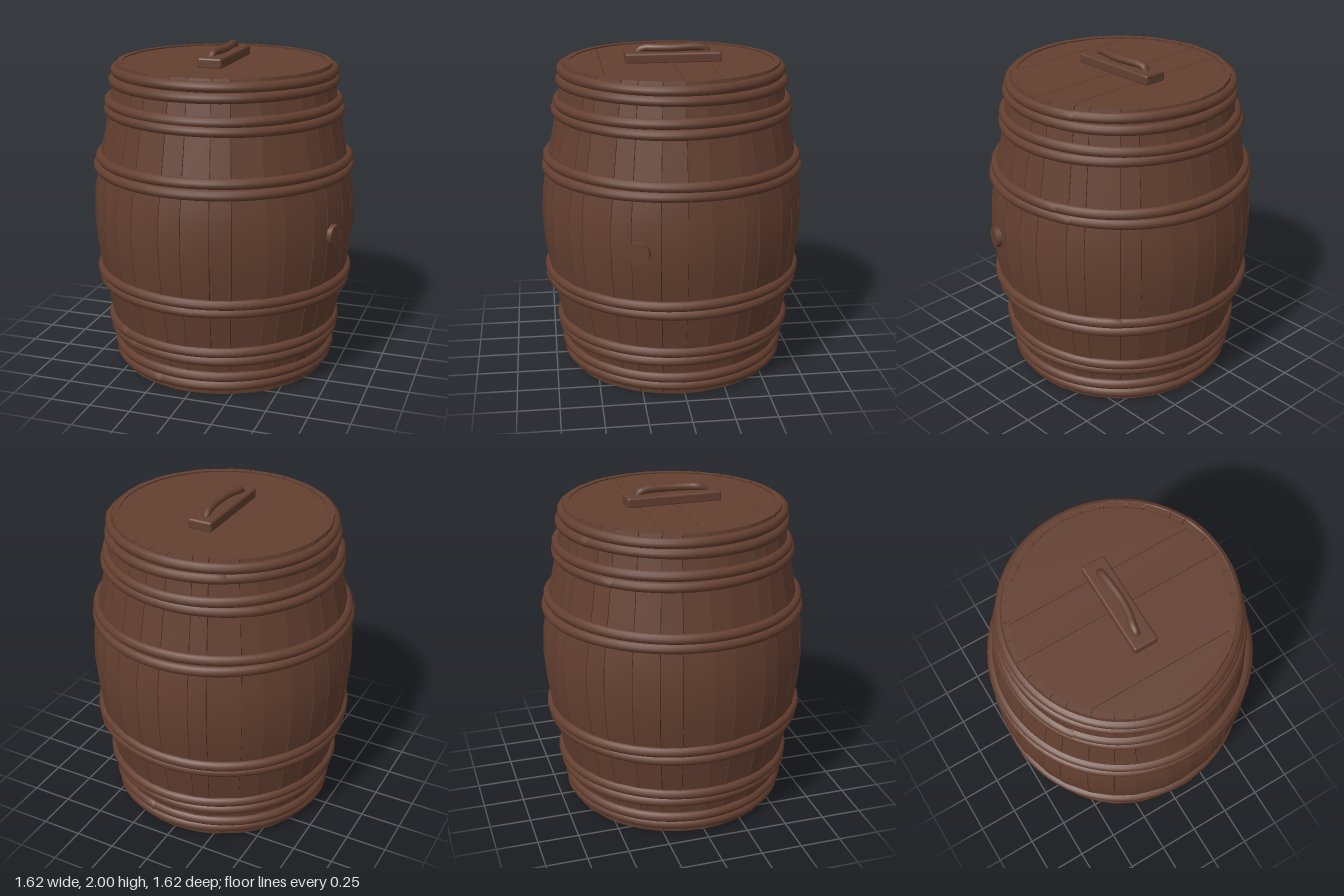
import * as THREE from 'three';
import { mergeGeometries } from 'three/addons/utils/BufferGeometryUtils.js';
import { RoundedBoxGeometry } from 'three/addons/geometries/RoundedBoxGeometry.js';

// Barrel outline: height, radius
const PROFILE = [
  [0, 0.655], [0.06, 0.661], [0.3, 0.706], [0.59, 0.765], [0.78, 0.795], [0.95, 0.808],
  [1.13, 0.8], [1.32, 0.764], [1.6, 0.708], [1.84, 0.664], [1.905, 0.652],
];
const TOP = 1.905;

function radiusAt(y) {
  for (let i = 1; i < PROFILE.length; i++) {
    const [y0, r0] = PROFILE[i - 1], [y1, r1] = PROFILE[i];
    if (y <= y1) return r0 + (r1 - r0) * Math.max(0, (y - y0) / (y1 - y0));
  }
  return PROFILE[PROFILE.length - 1][1];
}

// One curved stave between two angles (measured from +z towards +x)
function staveGeometry(a0, a1) {
  const geo = new THREE.BoxGeometry(1, 1, 1, 1, PROFILE.length - 1, 1);
  const p = geo.attributes.position;
  for (let i = 0; i < p.count; i++) {
    const row = Math.round((p.getY(i) + 0.5) * (PROFILE.length - 1));
    const [y, outer] = PROFILE[row];
    const r = p.getZ(i) > 0 ? outer : outer - 0.035;
    const gap = 0.002 / r;
    const a = p.getX(i) < 0 ? a0 + gap : a1 - gap;
    p.setXYZ(i, r * Math.sin(a), y, r * Math.cos(a));
  }
  geo.computeVertexNormals();
  return geo;
}

// Round board cut into planks by seams across z
function plankGeometry(radius, seams, thickness) {
  const edges = [-radius, ...seams, radius];
  const parts = [];
  for (let i = 0; i + 1 < edges.length; i++) {
    const z0 = edges[i] + (i ? 0.002 : 0), z1 = edges[i + 1] - 0.002;
    const pts = [];
    for (const side of [1, -1]) {
      for (let k = 0; k <= 16; k++) {
        const t = side > 0 ? k / 16 : 1 - k / 16;
        const a0 = Math.asin(z0 / radius), a1 = Math.asin(z1 / radius);
        const a = a0 + (a1 - a0) * t;
        pts.push(new THREE.Vector2(side * radius * Math.cos(a), radius * Math.sin(a)));
      }
    }
    const geo = new THREE.ExtrudeGeometry(new THREE.Shape(pts), { depth: thickness, bevelEnabled: false });
    parts.push(geo.rotateX(Math.PI / 2));
  }
  return mergeGeometries(parts);
}

// Hoop bent from a rod whose tapered end laps over its start
class HoopCurve extends THREE.Curve {
  constructor(y, start, phase) {
    super();
    Object.assign(this, { y, start, phase, r: radiusAt(y) });
  }
  getPoint(t, target = new THREE.Vector3()) {
    const a = this.start + t * (Math.PI * 2 + 0.12);
    const lift = 0.006 * Math.max(0, (t - 0.94) / 0.06);
    const r = this.r + lift + 0.003 * Math.sin(3 * a + this.phase);
    const y = this.y + 0.004 * Math.sin(2 * a + this.phase);
    return target.set(r * Math.sin(a), y, r * Math.cos(a));
  }
}

function hoopGeometry(y, start, phase) {
  const curve = new HoopCurve(y, start, phase);
  const steps = 80, sides = 10;
  const geo = new THREE.TubeGeometry(curve, steps, 0.031, sides, false);
  // Narrow the last ring into a blunt tip
  const p = geo.attributes.position, tip = curve.getPoint(1), v = new THREE.Vector3();
  for (let i = steps * (sides + 1); i < p.count; i++) {
    v.fromBufferAttribute(p, i).lerp(tip, 0.75);
    p.setXYZ(i, v.x, v.y, v.z);
  }
  geo.computeVertexNormals();
  return geo;
}

export function createModel() {
  const group = new THREE.Group();
  const wood = new THREE.MeshStandardMaterial({ color: 0x633f30 });
  wood.name = 'brown wood';
  const hoopWood = new THREE.MeshStandardMaterial({ color: 0x633e2f, side: THREE.DoubleSide });
  hoopWood.name = 'brown hoop';
  const dark = new THREE.MeshStandardMaterial({ color: 0x21140f });
  dark.name = 'dark seam';

  const add = (name, geo, mat, x = 0, y = 0, z = 0) => {
    const mesh = new THREE.Mesh(geo, mat);
    mesh.name = name;
    mesh.position.set(x, y, z);
    group.add(mesh);
    return mesh;
  };

  // Staves of slightly uneven width
  const count = 32;
  const angle = (i) => ((i + (i % 8 ? 0.16 * Math.sin(i * 2.7) : 0)) / count) * Math.PI * 2;
  const staves = [];
  for (let i = 0; i < count; i++) staves.push(staveGeometry(angle(i), angle(i + 1)));
  add('staves', mergeGeometries(staves), wood);

  // Dark core seen through the seams
  const core = PROFILE.map(([y, r]) => new THREE.Vector2(r - 0.016, Math.min(Math.max(y, 0.012), TOP - 0.018)));
  core.unshift(new THREE.Vector2(0, 0.012));
  core.push(new THREE.Vector2(0, TOP - 0.018));
  add('seamCore', new THREE.LatheGeometry(core, 64), dark);

  // Lid and bottom boards
  add('lid', plankGeometry(0.617, [-0.22, 0, 0.43], 0.03), wood, 0, TOP - 0.008);
  add('bottom', plankGeometry(0.62, [-0.43, -0.22, 0, 0.22, 0.43], 0.03), wood, 0, 0.034);

  // Hoops in pairs: height, angle of the lapped end
  const hoops = [
    [0.06, -0.33], [0.122, 2.9], [0.237, -0.58], [0.293, -0.7], [0.563, 0.04], [0.62, 2.35],
    [1.273, 1.97], [1.332, 1.85], [1.617, -2.4], [1.672, -0.95], [1.797, 3.6], [1.857, 1.95],
  ];
  hoops.forEach(([y, start], i) => add('hoop' + (i + 1), hoopGeometry(y, start, i * 1.9), hoopWood));

  // Lid handle: base plate and bent grip
  add('handlePlate', new RoundedBoxGeometry(0.15, 0.065, 0.58, 2, 0.014), wood, 0, 1.923, -0.005);
  const grip = new THREE.CatmullRomCurve3([
    [0, 1.93, -0.215], [0, 1.965, -0.205], [0.004, 1.978, -0.16], [0.014, 1.976, 0],
    [0.004, 1.976, 0.1], [-0.012, 1.974, 0.16], [-0.014, 1.96, 0.195], [-0.014, 1.93, 0.205],
  ].map((q) => new THREE.Vector3(...q)));
  add('handleGrip', new THREE.TubeGeometry(grip, 32, 0.024, 10, false), wood);

  // Bung plug on the left side
  const bung = add('bung', new THREE.CylinderGeometry(0.063, 0.066, 0.09, 20), wood, 0.742, 0.955, 0.268);
  bung.quaternion.setFromUnitVectors(new THREE.Vector3(0, 1, 0), new THREE.Vector3(0.94, 0, 0.34).normalize());

  return group;
}
